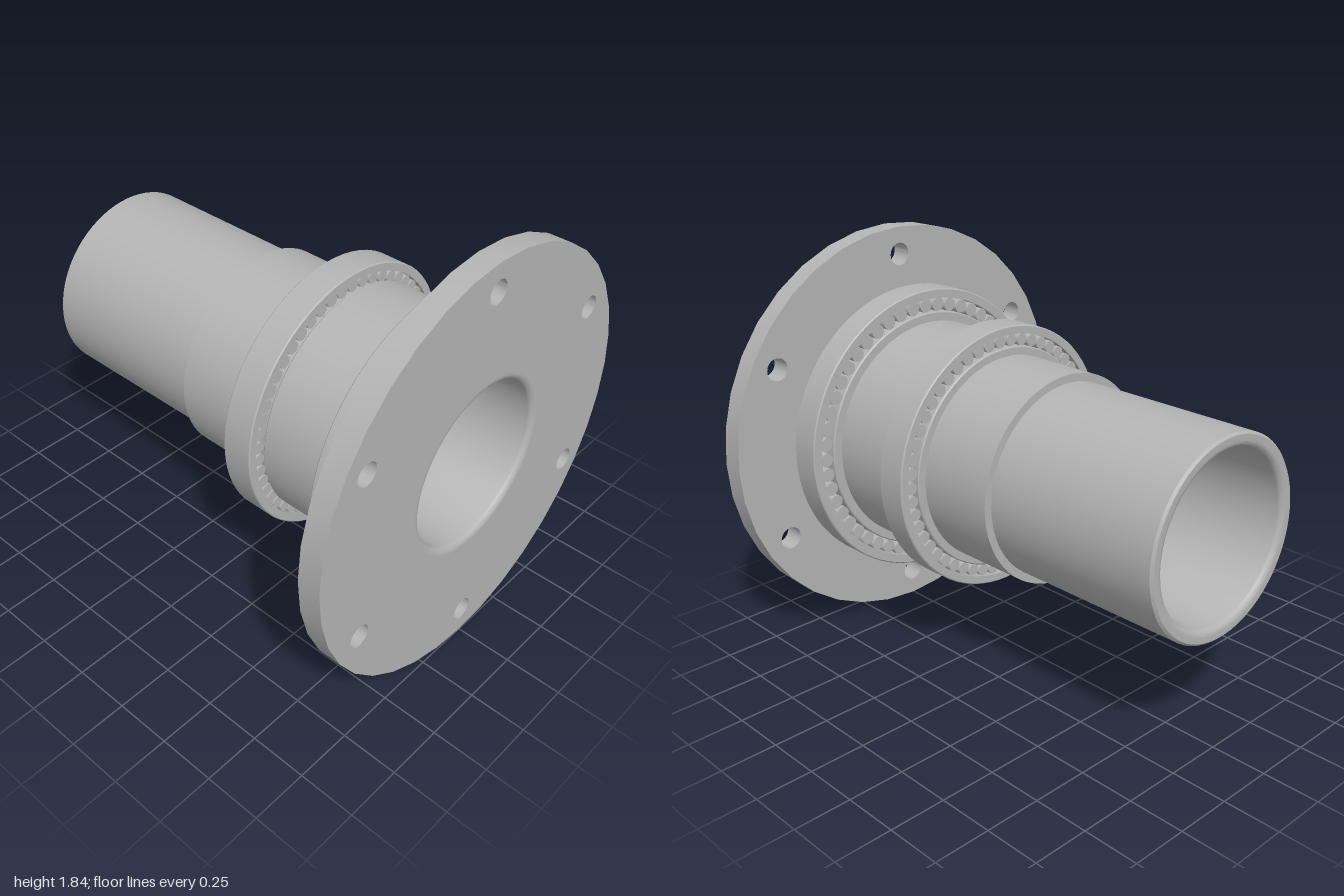
import * as THREE from 'three';
import { toCreasedNormals } from 'three/addons/utils/BufferGeometryUtils.js';

const CENTRE_Y = 0.92;
const SIDES = 72;

export function createModel() {
  const model = new THREE.Group();
  model.name = 'flangedSpindle';
  const axis = new THREE.Group();
  axis.name = 'spindleAssembly';
  axis.position.y = CENTRE_Y;
  model.add(axis);

  const steel = new THREE.MeshStandardMaterial({ color: 0xb4b4b4 });
  steel.name = 'steel grey';

  const add = (parent, name, geometry) => {
    const mesh = new THREE.Mesh(toCreasedNormals(geometry, 0.5), steel);
    mesh.name = name;
    parent.add(mesh);
    return mesh;
  };

  // Closed [radius, z] profile, anticlockwise, turned about the z axis
  const turn = (profile) => {
    const points = [...profile, profile[0]].map(([r, z]) => new THREE.Vector2(r, z));
    return new THREE.LatheGeometry(points, SIDES).rotateX(Math.PI / 2);
  };

  // Quarter-round edge as [radius, z] points
  const fillet = (r, z, size, from, to) => Array.from({ length: 7 }, (_, i) => {
    const a = from + (to - from) * i / 6;
    return [r + size * Math.cos(a), z + size * Math.sin(a)];
  });

  // Bolted flange: 36-sided disc with six bolt holes
  const disc = new THREE.Shape();
  for (let i = 0; i < 36; i++) {
    const a = i * Math.PI / 18;
    disc[i ? 'lineTo' : 'moveTo'](0.92 * Math.cos(a), 0.92 * Math.sin(a));
  }
  disc.closePath();
  const cutHole = (x, y, r) => {
    disc.holes.push(new THREE.Path().absarc(x, y, r, 0, Math.PI * 2, true));
  };
  cutHole(0, 0, 0.4);
  for (let i = 0; i < 6; i++) {
    const a = Math.PI / 6 + i * Math.PI / 3;
    cutHole(0.795 * Math.cos(a), 0.795 * Math.sin(a), 0.051);
  }
  const flange = new THREE.ExtrudeGeometry(disc, { depth: 0.1, bevelEnabled: false, curveSegments: SIDES / 2 });
  add(axis, 'flange', flange.translate(0, 0, 0.9));

  // Hollow stepped spindle, rounded at both mouths of the bore
  add(axis, 'spindle', turn([
    [0.415, -1], [0.425, -0.99], [0.425, -0.16],
    [0.46, -0.16], [0.46, 0.345],
    [0.505, 0.345], [0.512, 0.352], [0.512, 0.855],
    [0.56, 0.855], [0.56, 0.9], [0.4, 0.9], [0.4, 1],
    ...fillet(0.39, 0.97, 0.03, Math.PI / 2, Math.PI),
    ...fillet(0.39, -0.97, 0.03, Math.PI, Math.PI * 1.5),
  ]));

  // Roller bearing: inner ring, outer ring and a circle of rollers
  const addBearing = (name, bore, outer, back, front) => {
    const bearing = new THREE.Group();
    bearing.name = name;
    axis.add(bearing);
    const ring = (inside, outside) => turn([
      [inside, back], [outside - 0.005, back], [outside, back + 0.005],
      [outside, front - 0.005], [outside - 0.005, front], [inside, front],
    ]);
    const wall = (outer - bore) * 0.29;
    add(bearing, 'innerRing', ring(bore, bore + wall));
    add(bearing, 'outerRing', ring(outer - wall, outer));

    const pitch = (bore + outer) / 2;
    const radius = (outer - bore) / 2 - wall;
    const count = Math.floor(Math.PI * 2 * pitch / (radius * 2.25));
    const length = front - back - 0.02;
    for (let i = 0; i < count; i++) {
      const a = i / count * Math.PI * 2;
      const roller = new THREE.CylinderGeometry(radius, radius, length, 16).rotateX(Math.PI / 2);
      add(bearing, 'roller', roller)
        .position.set(pitch * Math.cos(a), pitch * Math.sin(a), (back + front) / 2);
    }
  };
  addBearing('largeBearing', 0.512, 0.66, 0.715, 0.855);
  addBearing('smallBearing', 0.46, 0.59, 0.205, 0.345);

  return model;
}
